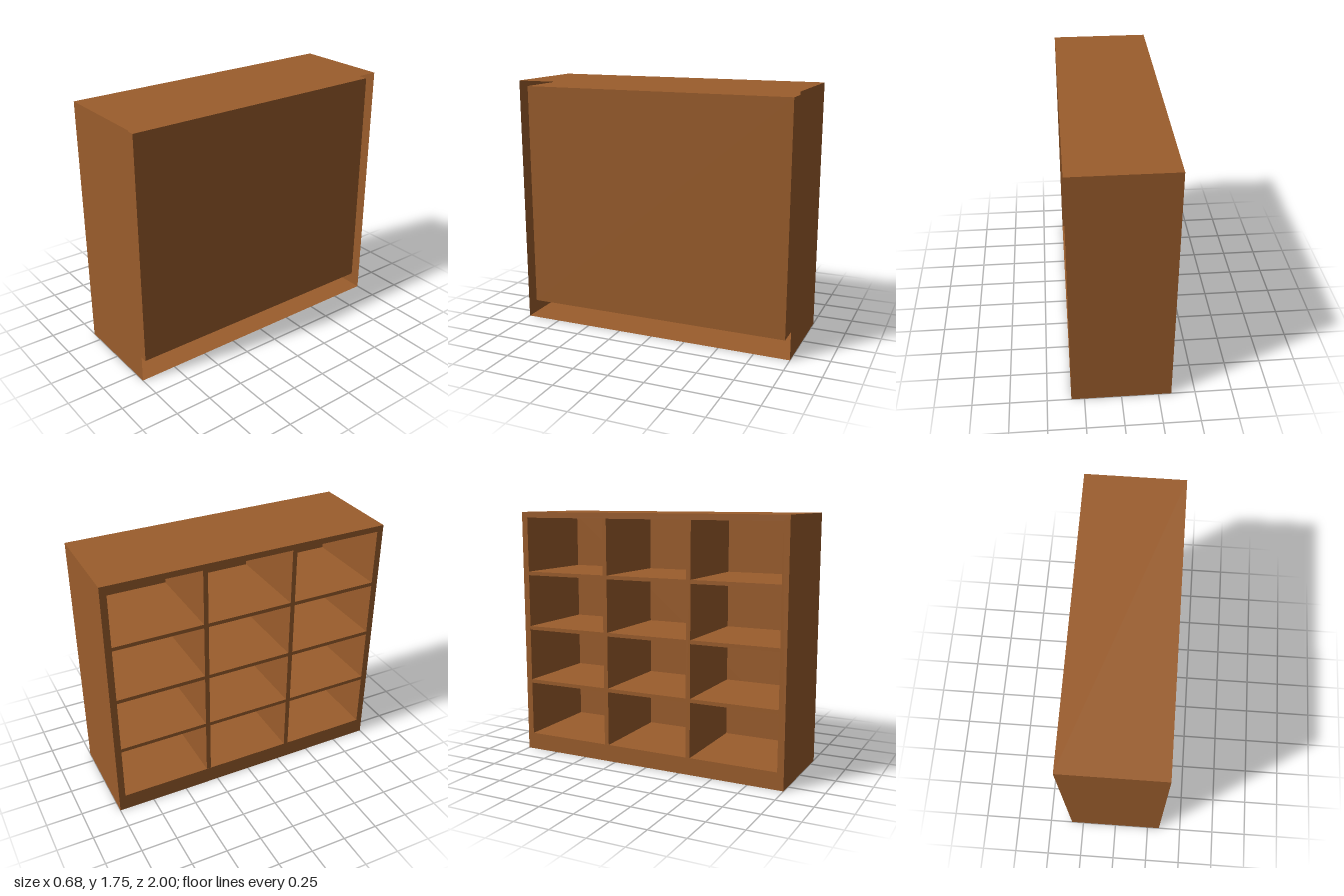
import * as THREE from 'three';

// Overall half depth, half width and height of the cabinet
const X = 0.338, Z = 1, H = 1.755;
// Recess: half width, floor, ceiling and back plane
const RZ = 0.955, Y0 = 0.12, Y1 = 1.715, BACK = 0.307;
const DIVIDER = 0.032, SHELF = 0.026;

export function createModel() {
  const group = new THREE.Group();
  const wood = new THREE.MeshStandardMaterial({ color: 0x9b5d2c, side: THREE.DoubleSide });
  wood.name = 'brown wood';

  const add = (name, geometry, x = 0, y = 0, z = 0) => {
    const mesh = new THREE.Mesh(geometry, wood);
    mesh.name = name;
    mesh.position.set(x, y, z);
    group.add(mesh);
  };

  // Four thin sheets forming a sleeve along x; side is 1 to face outwards, -1 inwards
  const sleeve = (name, x0, x1, halfZ, y0, y1, side) => {
    const w = x1 - x0, cx = (x0 + x1) / 2, cy = (y0 + y1) / 2;
    for (const s of [1, -1]) {
      add(name + (s > 0 ? 'Top' : 'Bottom'),
        new THREE.PlaneGeometry(w, 2 * halfZ).rotateX(-s * side * Math.PI / 2), cx, s > 0 ? y1 : y0, 0);
      add(name + (s > 0 ? 'Front' : 'Back'),
        new THREE.PlaneGeometry(w, y1 - y0).rotateY(s * side > 0 ? 0 : Math.PI), cx, cy, s * halfZ);
    }
  };

  // Outer shell, open on the +x side, and the recess that holds the shelves
  sleeve('shell', -X, X, Z, 0, H, 1);
  sleeve('recess', -X, BACK, RZ, Y0, Y1, -1);
  add('backPanel', new THREE.PlaneGeometry(2 * RZ, Y1 - Y0).rotateY(Math.PI / 2), BACK, (Y0 + Y1) / 2, 0);

  // Face frame around the shelf opening
  const rect = (Type, z, y0, y1) => new Type([
    new THREE.Vector2(-z, y0), new THREE.Vector2(z, y0),
    new THREE.Vector2(z, y1), new THREE.Vector2(-z, y1)]);
  const frame = rect(THREE.Shape, Z, 0, H);
  frame.holes.push(rect(THREE.Path, RZ, Y0, Y1));
  add('faceFrame', new THREE.ShapeGeometry(frame).rotateY(-Math.PI / 2), -X);

  // Two upright dividers and three shelves in each of the three columns
  const depth = BACK + X - 0.002, cx = (BACK - X) / 2, column = 2 * RZ / 3;
  for (const s of [-1, 1]) {
    add('divider', new THREE.BoxGeometry(depth, Y1 - Y0, DIVIDER), cx, (Y0 + Y1) / 2, s * column / 2);
  }
  for (let c = -1; c <= 1; c++) {
    const inner = c === 0 ? column - DIVIDER : column - DIVIDER / 2;
    for (let r = 1; r <= 3; r++) {
      add('shelf', new THREE.BoxGeometry(depth, SHELF, inner),
        cx, Y0 + (Y1 - Y0) * r / 4, c * (column + DIVIDER / 4));
    }
  }
  return group;
}
